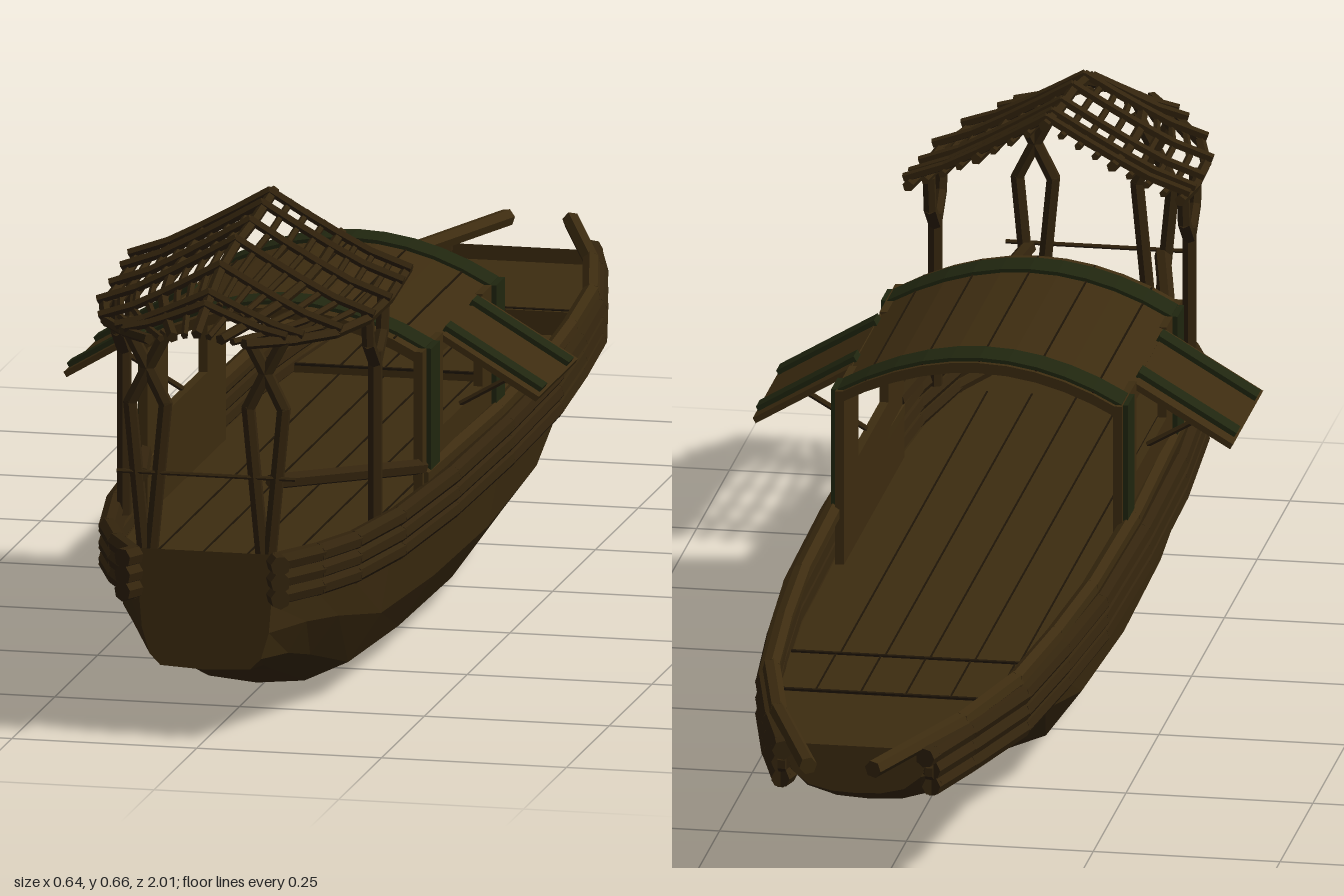
import * as THREE from 'three';
import { mergeGeometries } from 'three/addons/utils/BufferGeometryUtils.js';

const V = (x, y, z) => new THREE.Vector3(x, y, z);
const material = (name, color) =>
  new THREE.MeshStandardMaterial({ name, color, flatShading: true, side: THREE.DoubleSide });
const wood = material('brown wood', 0x3d2c10);
const pole = material('dark pole wood', 0x33240d);
const seam = material('plank seam', 0x1e1507);
const band = material('dark green band', 0x20260f);

// Hull stations: z, half width, keel height
const STATIONS = [
  [0.95, 0.09, 0.095], [0.88, 0.13, 0.085], [0.8, 0.16, 0.06], [0.65, 0.185, 0.01],
  [0.4, 0.2, 0.002], [0.1, 0.204, 0], [-0.2, 0.2, 0.025], [-0.4, 0.185, 0.09],
  [-0.6, 0.165, 0.118], [-0.78, 0.125, 0.15], [-0.88, 0.095, 0.19],
];
const GUNWALE = 0.255;

// Linear lookup in a table of rows sorted by falling z
function lookup(table, z, col = 1) {
  if (z >= table[0][0]) return table[0][col];
  for (let i = 1; i < table.length; i++) {
    const a = table[i - 1], b = table[i];
    if (z >= b[0]) return a[col] + (b[col] - a[col]) * (a[0] - z) / (a[0] - b[0]);
  }
  return table[table.length - 1][col];
}

// Round pole through a list of points, capped at each joint
function rod(points, r, sides = 6) {
  const parts = [];
  for (let i = 1; i < points.length; i++) {
    const dir = points[i].clone().sub(points[i - 1]);
    const g = new THREE.CylinderGeometry(r, r, dir.length() + r * 0.4, sides);
    g.applyQuaternion(new THREE.Quaternion().setFromUnitVectors(V(0, 1, 0), dir.clone().normalize()));
    const mid = points[i].clone().add(points[i - 1]).multiplyScalar(0.5);
    parts.push(g.translate(mid.x, mid.y, mid.z));
  }
  return mergeGeometries(parts);
}
const box = (w, h, d, x, y, z) => new THREE.BoxGeometry(w, h, d).translate(x, y, z);

// Lofted hull with closed transom and bow plate
function hullGeometry() {
  const U = [0, 0.35, 0.67, 0.91, 0.98, 1], H = [0, 0.025, 0.14, 0.42, 0.72, 1];
  const pos = [], idx = [], n = 11;
  STATIONS.forEach(([z, w, keel], s) => {
    const square = s === 0 ? 0.5 : s === 1 ? 0.2 : 0;
    for (let j = -5; j <= 5; j++) {
      const k = Math.abs(j);
      const u = U[k] + (k ? (1 - U[k]) * square : 0);
      pos.push(Math.sign(j) * u * w, keel + H[k] * (1 - square * 0.4 * (k < 5)) * (GUNWALE - keel), z);
    }
  });
  for (let s = 0; s < STATIONS.length - 1; s++)
    for (let j = 0; j < n - 1; j++) {
      const a = s * n + j, b = a + 1, c = a + n, d = c + 1;
      idx.push(a, c, b, b, c, d);
    }
  const last = (STATIONS.length - 1) * n;
  for (let j = 1; j < n - 1; j++) {
    idx.push(0, j, j + 1);
    idx.push(last, last + j + 1, last + j);
  }
  const g = new THREE.BufferGeometry();
  g.setAttribute('position', new THREE.Float32BufferAttribute(pos, 3));
  g.setIndex(idx);
  g.computeVertexNormals();
  return g;
}

// Flat deck following the hull outline between two z values
function deckGeometry(z0, z1, y, inset) {
  const zs = [z0, ...STATIONS.map(s => s[0]).filter(z => z < z0 && z > z1), z1];
  const half = zs.map(z => [lookup(STATIONS, z) - inset, -z]);
  const outline = [...half, ...half.slice().reverse().map(([x, z]) => [-x, z])];
  const shape = new THREE.Shape(outline.map(([x, z]) => new THREE.Vector2(x, z)));
  return new THREE.ExtrudeGeometry(shape, { depth: 0.012, bevelEnabled: false })
    .rotateX(-Math.PI / 2).translate(0, y - 0.012, 0);
}

// Curved roof strip: an arc of given thickness, extruded along z
function archGeometry(z0, z1, lift, thick) {
  const pts = [];
  const y = x => 0.485 - 1.5 * x * x;
  for (let i = 0; i <= 10; i++) { const x = -0.19 + 0.038 * i; pts.push(new THREE.Vector2(x, y(x) + lift)); }
  for (let i = 10; i >= 0; i--) { const x = -0.19 + 0.038 * i; pts.push(new THREE.Vector2(x, y(x) + lift - thick)); }
  return new THREE.ExtrudeGeometry(new THREE.Shape(pts), { depth: z1 - z0, bevelEnabled: false }).translate(0, 0, z0);
}

// Canopy surface: half width, ridge height and eave height along z
const CANOPY = [
  [1.0, 0.065, 0.56, 0.55], [0.93, 0.115, 0.59, 0.542], [0.86, 0.155, 0.615, 0.538],
  [0.77, 0.178, 0.63, 0.538], [0.66, 0.182, 0.638, 0.542], [0.55, 0.182, 0.652, 0.558],
];
function canopyPoint(s, z, lift = 0) {
  const a = Math.abs(s), ridge = lookup(CANOPY, z, 2), eave = lookup(CANOPY, z, 3);
  return V(s * lookup(CANOPY, z), eave + (ridge - eave) * Math.pow(1 - a, 1.15) + lift, z);
}

export function createModel() {
  const root = new THREE.Group();
  const add = (name, geometry, mat) => {
    const m = new THREE.Mesh(geometry, mat);
    m.name = name;
    root.add(m);
  };

  add('hull', hullGeometry(), wood);

  // Decks, stepped up towards the bow
  add('mainDeck', deckGeometry(0.94, -0.35, 0.195, 0.008), wood);
  add('foreDeck', deckGeometry(-0.35, -0.6, 0.205, 0.008), wood);
  add('bowDeck', deckGeometry(-0.6, -0.88, 0.235, 0.006), wood);
  add('bowBulkhead', box(0.31, 0.04, 0.01, 0, 0.217, -0.6), wood);
  const seams = [box(0.36, 0.003, 0.006, 0, 0.206, -0.352), box(0.31, 0.003, 0.006, 0, 0.237, -0.603)];
  for (const x of [-0.12, -0.06, 0, 0.06, 0.12]) {
    seams.push(box(0.002, 0.002, 1.15, x, 0.1955, 0.225));
    seams.push(box(0.002, 0.002, 0.24, x, 0.2055, -0.475));
  }
  add('deckSeams', mergeGeometries(seams), seam);

  for (const side of [1, -1]) {
    const tag = side > 0 ? 'left' : 'right';

    // Three rubbing strakes along the hull side
    const strakes = [0.2, 0.222, 0.245].map((y, i) =>
      rod([[0.97, 0.1], ...STATIONS, [-0.9 + 0.02 * (2 - i), 0.09]].map(([z, w]) =>
        V(side * (w + 0.006), y + (z < -0.7 ? 0.006 : 0), z)), 0.0135, 7));
    add(tag + 'Strakes', mergeGeometries(strakes), pole);

    // Top rail running out past the bow
    const rail = [[0.5, 0.188], [0.1, 0.197], [-0.2, 0.193], [-0.4, 0.181], [-0.6, 0.163], [-0.78, 0.122], [-1, 0.044]];
    add(tag + 'TopRail', rod(rail.map(([z, x]) => V(side * x, 0.265, z)), 0.012), wood);

    // Cabin wall around the window
    const wall = [
      box(0.012, 0.115, 0.46, side * 0.186, 0.2525, 0.28),
      box(0.012, 0.13, 0.11, side * 0.186, 0.37, 0.105),
      box(0.012, 0.13, 0.12, side * 0.186, 0.37, 0.45),
      box(0.012, 0.02, 0.24, side * 0.186, 0.42, 0.275),
    ];
    add(tag + 'CabinWall', mergeGeometries(wall), wood);
    add(tag + 'CabinWallBands', mergeGeometries([0.082, 0.462].map(z =>
      box(0.009, 0.17, 0.05, side * 0.194, 0.35, z))), band);

    // Propped window flap with battens and strut
    const flap = (d, t, z, lift) => new THREE.BoxGeometry(0.152, t, d)
      .rotateZ(-side * 0.535).translate(side * 0.254, 0.39 + lift, z);
    add(tag + 'WindowFlap', flap(0.23, 0.008, 0.275, 0), wood);
    add(tag + 'FlapBattens', mergeGeometries([0.2, 0.355].map(z => flap(0.03, 0.009, z, 0.007))), band);
    add(tag + 'FlapStrut', rod([V(side * 0.188, 0.312, 0.27), V(side * 0.285, 0.368, 0.27)], 0.004), pole);

    // Forked rear canopy post
    const fork = [rod([V(side * 0.17, 0.24, 0.69), V(side * 0.17, 0.475, 0.69)], 0.01)];
    for (const k of [-1, 1])
      fork.push(rod([V(side * 0.17, 0.46, 0.69), V(side * 0.17, 0.495, 0.69 + k * 0.04), V(side * 0.17, 0.54, 0.69 + k * 0.048)], 0.009));
    add(tag + 'ForkedPost', mergeGeometries(fork), pole);

    // Crossed stern posts
    const crossed = [-1, 1].map(k => rod([
      V(side * (0.08 + k * 0.004), 0.24, 0.94), V(side * (0.08 + k * 0.024), 0.45, 0.94),
      V(side * (0.08 + k * 0.003), 0.492, 0.94), V(side * (0.08 - k * 0.025), 0.545, 0.94)], 0.0095));
    add(tag + 'CrossedPost', mergeGeometries(crossed), pole);

    // Sloping hand rail from stern post to cabin
    add(tag + 'HandRail', rod([V(side * 0.09, 0.352, 0.94), V(side * 0.187, 0.278, 0.5)], 0.011), pole);
  }
  add('sternRod', rod([V(-0.12, 0.357, 0.945), V(0.12, 0.357, 0.945)], 0.003), pole);

  // Arched cabin roof with bands and plank seams
  add('cabinRoof', archGeometry(0.05, 0.51, 0, 0.014), wood);
  add('roofBands', mergeGeometries([archGeometry(0.057, 0.107, 0.005, 0.008), archGeometry(0.437, 0.487, 0.005, 0.008)]), band);
  add('roofSeams', mergeGeometries([-0.152, -0.076, 0, 0.076, 0.152].map(x =>
    box(0.002, 0.002, 0.45, x, 0.4855 - 1.5 * x * x, 0.28))), seam);

  // Lattice canopy: lengthwise poles that converge, tied by cross slats
  const zs = CANOPY.map(r => r[0]);
  const lengthwise = [];
  for (let i = -8; i <= 8; i++) {
    const start = i % 2 ? 1 : 0;
    lengthwise.push(rod(zs.slice(start).map(z => canopyPoint(i / 8, z)), i % 4 ? 0.005 : 0.0075, 5));
  }
  add('canopyPoles', mergeGeometries(lengthwise), pole);
  const slats = [0.57, 0.615, 0.685, 0.77, 0.86, 0.925, 0.95].map(z =>
    rod([-1.05, -0.75, -0.5, -0.25, 0, 0.25, 0.5, 0.75, 1.05].map(s =>
      canopyPoint(Math.sign(s) * Math.min(Math.abs(s), 1), z, 0.008).add(V(Math.abs(s) > 1 ? Math.sign(s) * 0.008 : 0, 0, 0))), 0.0065, 5));
  add('canopySlats', mergeGeometries(slats), pole);

  return root;
}
